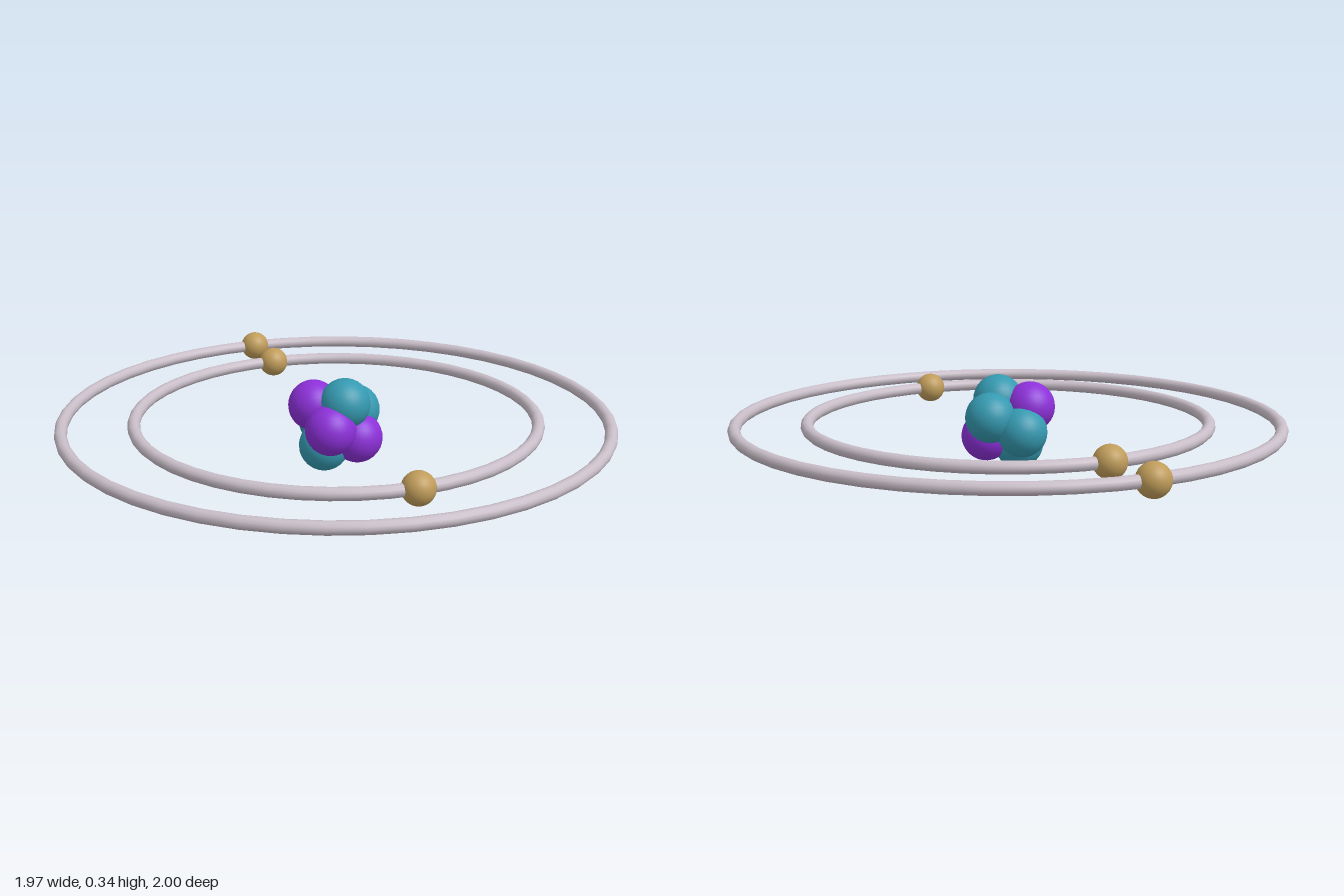
import * as THREE from 'three';

const CENTRE_Y = 0.185;
const CENTRE_Z = 0.018;

const paint = (color) => new THREE.MeshStandardMaterial({ color });

export function createModel() {
  const model = new THREE.Group();
  const purple = paint(0x8c30d8);
  const teal = paint(0x3599b0);
  const gold = paint(0xbf9c5a);
  const silver = paint(0xc9bec8);

  const addBall = (parent, name, geometry, material, [x, y, z]) => {
    const ball = new THREE.Mesh(geometry, material);
    ball.name = name;
    ball.position.set(x, y, z);
    parent.add(ball);
  };

  // Nucleus: a tight cluster of three protons and four neutrons
  const nucleus = new THREE.Group();
  nucleus.name = 'nucleus';
  const nucleon = new THREE.SphereGeometry(0.09, 32, 16);
  const protons = [[-0.077, 0.23, -0.003], [-0.055, 0.17, 0.11], [0.057, 0.12, 0.08]];
  const neutrons = [[0.01, 0.25, 0.079], [0.074, 0.2, 0.01], [-0.022, 0.15, -0.05], [-0.053, 0.09, 0.04]];
  protons.forEach((p, i) => addBall(nucleus, `proton${i + 1}`, nucleon, purple, p));
  neutrons.forEach((p, i) => addBall(nucleus, `neutron${i + 1}`, nucleon, teal, p));
  model.add(nucleus);

  // Orbits: flat rings, each carrying electrons at the front (+1) or back (-1)
  const electron = new THREE.SphereGeometry(0.056, 32, 16);
  const addShell = (name, radius, sides) => {
    const shell = new THREE.Group();
    shell.name = name;
    shell.position.set(0, CENTRE_Y, CENTRE_Z);
    const ring = new THREE.Mesh(new THREE.TorusGeometry(radius, 0.022, 12, 48), silver);
    ring.name = 'orbitRing';
    ring.rotation.x = Math.PI / 2;
    shell.add(ring);
    sides.forEach((s) => addBall(shell, 'electron', electron, gold, [0, 0, s * radius]));
    model.add(shell);
  };
  addShell('innerShell', 0.712, [1, -1]);
  addShell('outerShell', 0.961, [-1]);

  return model;
}
